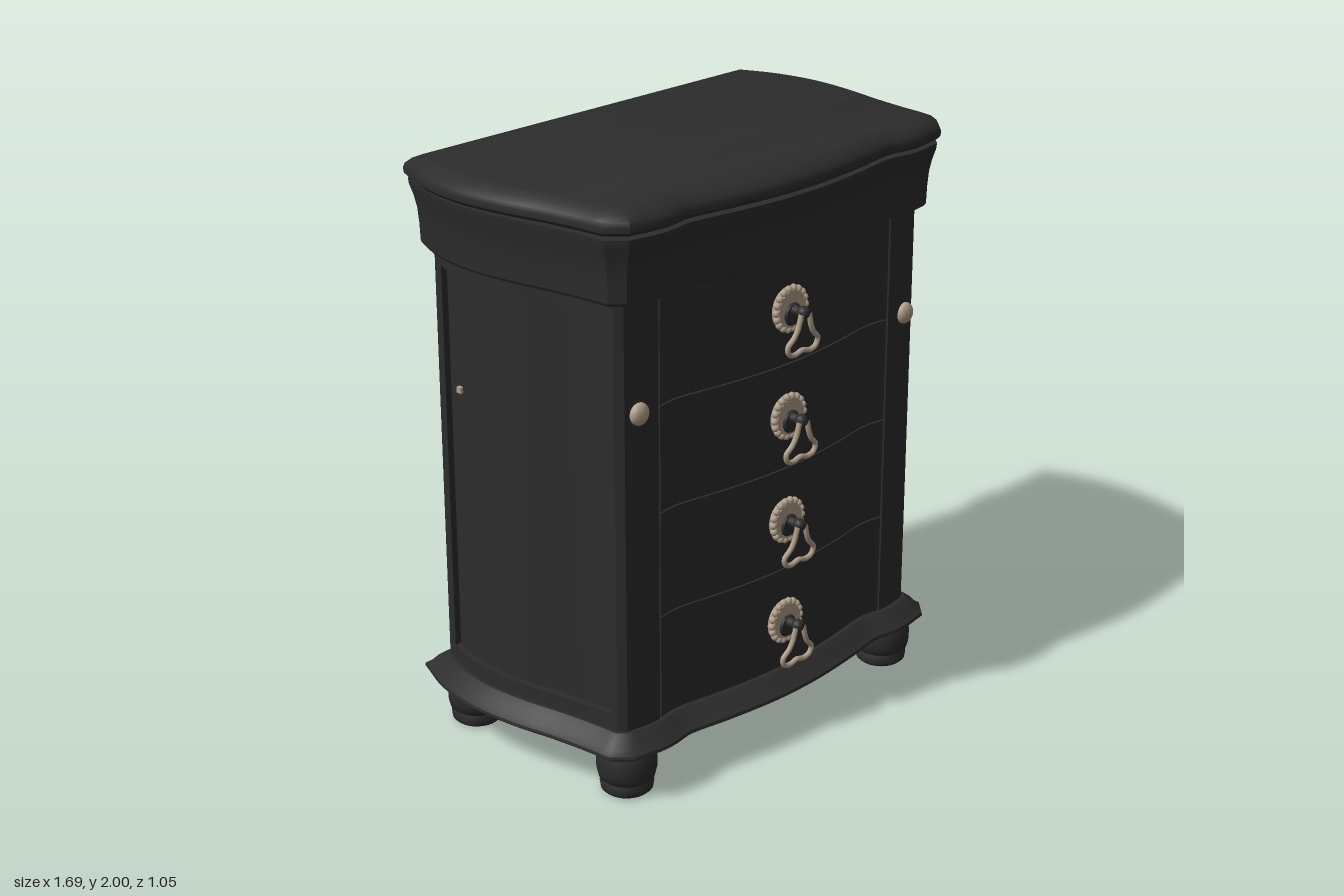
import * as THREE from 'three';
import { toCreasedNormals } from 'three/addons/utils/BufferGeometryUtils.js';

const mat = (name, color) => {
  const m = new THREE.MeshStandardMaterial({ color });
  m.name = name;
  return m;
};

// Smooth plan curves as [x, z]: bowed front (centre to corner) and bowed side (front to back)
const sample = (pts, n) =>
  new THREE.CatmullRomCurve3(pts.map(([x, z]) => new THREE.Vector3(x, 0, z))).getPoints(n).map((p) => [p.x, p.z]);
const FRONT = sample([[0, 0.438], [0.06, 0.437], [0.15, 0.431], [0.29, 0.414], [0.46, 0.389], [0.57, 0.403], [0.675, 0.388]], 30);
const SIDE = sample([[0.697, 0.365], [0.704, 0.29], [0.725, 0.15], [0.755, 0], [0.77, -0.17], [0.748, -0.33], [0.708, -0.437]], 30);
const HALF = [...FRONT, ...SIDE];
const OUTLINE = [...HALF, ...HALF.slice(1).reverse().map(([x, z]) => [-x, z])].reverse();

// Interpolated lookups along the plan curves
const lookup = (pts, key, val, t) => {
  for (let i = 0; i < pts.length - 1; i++) {
    const a = pts[i], b = pts[i + 1];
    if ((a[key] - t) * (b[key] - t) <= 0) return a[val] + ((b[val] - a[val]) * (t - a[key])) / (b[key] - a[key]);
  }
  return pts[pts.length - 1][val];
};
const frontZ = (x) => lookup(FRONT, 0, 1, Math.abs(x));
const sideX = (z) => lookup(SIDE, 1, 0, z);
const range = (a, b, n) => Array.from({ length: n + 1 }, (_, i) => a + ((b - a) * i) / n);

// Closed plan polygon pushed outwards by d
function offset(poly, d) {
  const n = poly.length;
  const normal = (a, b) => new THREE.Vector2(b[1] - a[1], a[0] - b[0]).normalize();
  return poly.map((p, i) => {
    const n1 = normal(poly[(i + n - 1) % n], p), n2 = normal(p, poly[(i + 1) % n]);
    const k = d / Math.max(0.4, 1 + n1.dot(n2));
    return [p[0] + (n1.x + n2.x) * k, p[1] + (n1.y + n2.y) * k];
  });
}

// Solid from a plan polygon swept through a profile of [offset, y], capped at both ends
function loft(plan, profile) {
  const flat = plan.map(([x, z]) => new THREE.Vector2(x, z));
  const poly = THREE.ShapeUtils.area(flat) > 0 ? plan : [...plan].reverse();
  const n = poly.length, pos = [], idx = [];
  for (const [d, y] of profile) for (const [x, z] of d ? offset(poly, d) : poly) pos.push(x, y, z);
  for (let r = 0; r < profile.length - 1; r++)
    for (let i = 0; i < n; i++) {
      const a = r * n + i, b = r * n + ((i + 1) % n);
      idx.push(a, a + n, b, b, a + n, b + n);
    }
  const top = (profile.length - 1) * n;
  const caps = THREE.ShapeUtils.triangulateShape(poly.map(([x, z]) => new THREE.Vector2(x, z)), []);
  for (const [a, b, c] of caps) idx.push(a, b, c, top + a, top + c, top + b);
  const g = new THREE.BufferGeometry();
  g.setAttribute('position', new THREE.Float32BufferAttribute(pos, 3));
  g.setIndex(idx);
  return toCreasedNormals(g, 0.5);
}
const slab = (plan, y0, y1) => loft(plan, [[0, y0], [0, y1]]);

export function createModel() {
  const wood = mat('black wood', 0x2c2c2c);
  const brass = mat('aged brass', 0xb09f8a);
  const root = new THREE.Group();
  root.name = 'jewelleryChest';
  const add = (name, geo, material, x = 0, y = 0, z = 0, parent = root) => {
    const m = new THREE.Mesh(geo, material);
    m.name = name;
    m.position.set(x, y, z);
    parent.add(m);
    return m;
  };

  // Plinth, carcass core and crown moulding
  add('baseMoulding', loft(OUTLINE, [[0.066, 0.17], [0.075, 0.178], [0.073, 0.188], [0.055, 0.2], [0.035, 0.222], [0.012, 0.24]]), wood);
  add('carcass', slab(offset(OUTLINE, -0.022), 0.235, 1.7), wood);
  add('crownMoulding', loft(OUTLINE, [[0.03, 1.69], [0.036, 1.7], [0.038, 1.76], [0.042, 1.81], [0.05, 1.85], [0.062, 1.888], [0.064, 1.908]]), wood);
  add('lidLining', slab(offset(OUTLINE, -0.02), 1.9, 1.914), brass);

  // Lid, hinged at the back and resting very slightly open
  const lid = new THREE.Group();
  lid.name = 'lid';
  lid.position.set(0, 1.91, -0.5);
  lid.rotation.x = -0.011;
  root.add(lid);
  add('lidTop', loft(OUTLINE, [[0.062, 0], [0.074, 0.012], [0.076, 0.03], [0.07, 0.045], [0.05, 0.062], [0.016, 0.077]]), wood, 0, 0, 0.5, lid);

  // Back panel
  add('backPanel', new THREE.BoxGeometry(1.4, 1.45, 0.03), wood, 0, 0.965, -0.422);

  for (const s of [1, -1]) {
    const side = s > 0 ? 'left' : 'right';
    const mirror = (plan) => plan.map(([x, z]) => [s * x, z]);

    // Front post, back post and bowed rails framing the recessed side panel
    const frontPost = [
      ...range(0.541, 0.675, 8).map((x) => [x, frontZ(x)]), [0.697, 0.365],
      [sideX(0.34), 0.34], [0.6, 0.34], [0.541, 0.35],
    ];
    add(side + 'FrontPost', slab(mirror(frontPost), 0.238, 1.692), wood);
    const backPost = [[sideX(-0.38), -0.38], [0.708, -0.437], [0.64, -0.437], [0.64, -0.38]];
    add(side + 'BackPost', slab(mirror(backPost), 0.238, 1.692), wood);
    const zs = range(0.34, -0.38, 18);
    const rail = [...zs.map((z) => [sideX(z), z]), ...zs.reverse().map((z) => [sideX(z) - 0.04, z])];
    add(side + 'LowerRail', slab(mirror(rail), 0.238, 0.293), wood);
    add(side + 'UpperRail', slab(mirror(rail), 1.637, 1.692), wood);

    // Thin metal strip beside the drawers, and the post knob
    add(side + 'DrawerStrip', new THREE.BoxGeometry(0.007, 1.44, 0.01), brass, s * 0.5375, 0.965, 0.38);
    const knob = add(side + 'PostKnob', new THREE.SphereGeometry(0.037, 16, 10), brass, s * 0.625, 1.325, 0.402);
    knob.scale.z = 0.6;
    add(side + 'PanelCatch', new THREE.BoxGeometry(0.02, 0.02, 0.02), brass, s * (sideX(-0.3) - 0.02), 1.24, -0.3);

    // Hinges on the back and under the lid
    for (const y of [0.565, 1.37])
      add(side + 'BackHinge', new THREE.CylinderGeometry(0.01, 0.01, 0.165, 10), brass, s * 0.54, y + s * 0.01, -0.442);
    const lidHinge = add(side + 'LidHinge', new THREE.CylinderGeometry(0.01, 0.01, 0.175, 10), brass, s * 0.393, 1.906, -0.517);
    lidHinge.rotation.z = Math.PI / 2;

    // Turned bun feet
    const foot = [[0, 0], [0.075, 0], [0.086, 0.01], [0.089, 0.03], [0.084, 0.045], [0.092, 0.052], [0.099, 0.08],
      [0.1, 0.11], [0.096, 0.14], [0.085, 0.165], [0.082, 0.175], [0, 0.175]].map(([r, y]) => new THREE.Vector2(r, y));
    for (const [x, z] of [[0.632, 0.338], [0.659, -0.362]])
      add(side + 'Foot', toCreasedNormals(new THREE.LatheGeometry(foot, 24), 0.7), wood, s * x, 0, z);
  }

  // Four bowed drawers, each with a brass rosette and a hanging bail
  const bail = [[0.018, 0, 0.074], [0.03, -0.045, 0.072], [0.046, -0.075, 0.069], [0.07, -0.1, 0.066], [0.062, -0.126, 0.064],
    [0.034, -0.134, 0.064], [0, -0.126, 0.064]].map((p) => new THREE.Vector3(...p));
  const bailPath = new THREE.CatmullRomCurve3([...bail, ...bail.slice(0, -1).reverse().map((p) => new THREE.Vector3(-p.x, p.y, p.z))]);
  const xs = range(-0.534, 0.534, 32);
  const drawerPlan = [...xs.map((x) => [x, frontZ(x)]), [0.534, 0.34], [-0.534, 0.34]];
  for (let i = 0; i < 4; i++) {
    const y0 = 0.24 + i * 0.3615;
    add('drawer', slab(drawerPlan, y0 + 0.002, y0 + 0.3585), wood);
    const handle = new THREE.Group();
    handle.name = 'drawerHandle';
    handle.position.set(0, 0.415 + i * 0.3667, 0.438);
    root.add(handle);
    const plate = add('rosette', new THREE.CylinderGeometry(0.062, 0.074, 0.022, 28), brass, 0, 0, 0.01, handle);
    plate.rotation.x = Math.PI / 2;
    for (let k = 0; k < 18; k++) {
      const a = (k / 18) * Math.PI * 2;
      add('rosetteBead', new THREE.SphereGeometry(0.013, 8, 6), brass, 0.068 * Math.cos(a), 0.068 * Math.sin(a), 0.012, handle);
    }
    const boss = add('boss', new THREE.CylinderGeometry(0.034, 0.04, 0.01, 20), wood, 0, -0.016, 0.024, handle);
    boss.rotation.x = Math.PI / 2;
    const post = add('post', new THREE.CylinderGeometry(0.014, 0.018, 0.06, 12), wood, 0, 0, 0.048, handle);
    post.rotation.x = Math.PI / 2;
    add('postKnob', new THREE.SphereGeometry(0.022, 14, 10), wood, 0, 0, 0.066, handle);
    add('bail', new THREE.TubeGeometry(bailPath, 48, 0.009, 8), brass, 0, 0, 0, handle);
  }
  return root;
}
